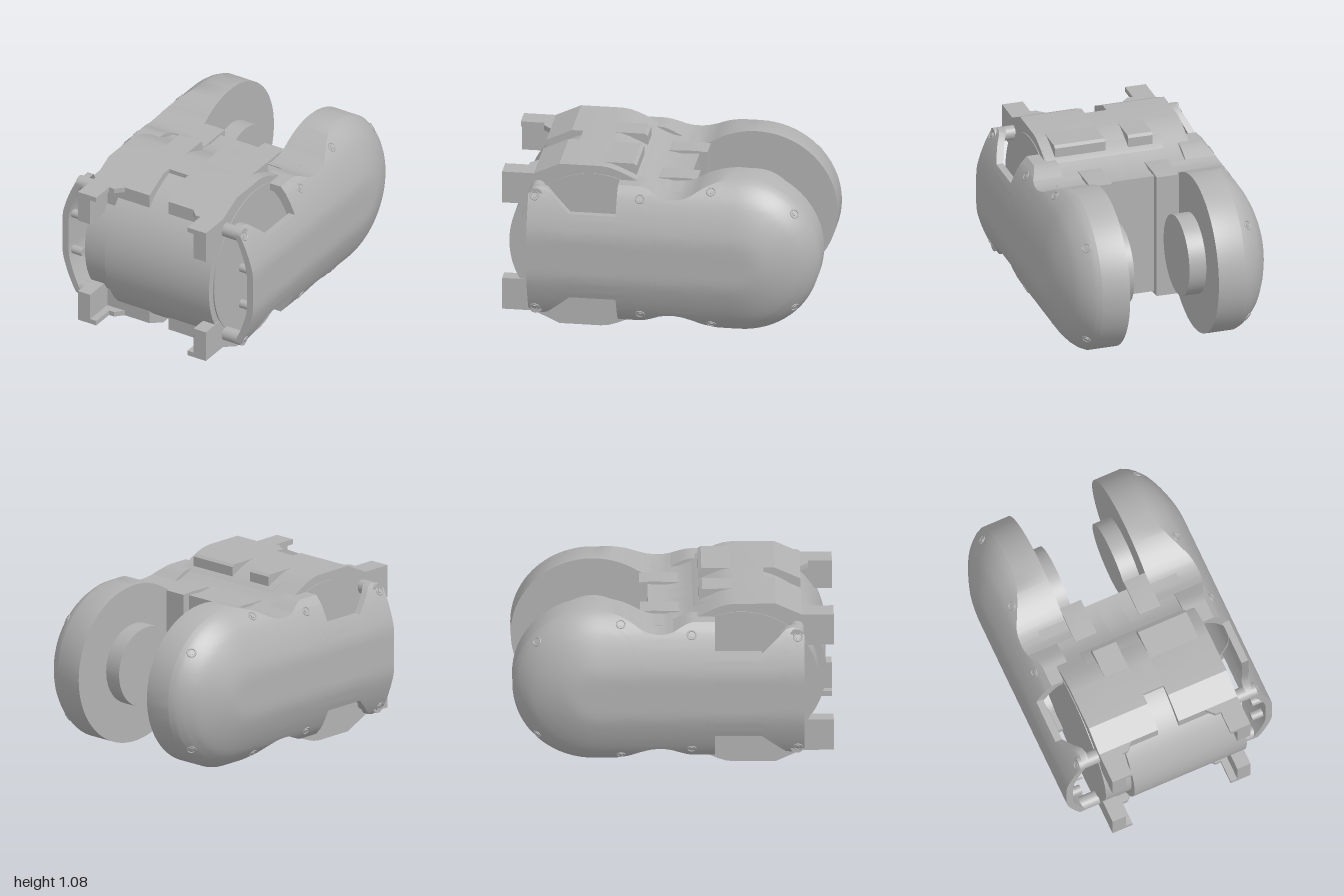
import * as THREE from 'three';
import { toCreasedNormals } from 'three/addons/utils/BufferGeometryUtils.js';

const CY = 0.5375;      // height of the horizontal mid plane
const HUB = -0.49;      // z of the rear disc axis
const R = 0.507;        // rear disc radius

// Piecewise linear lookup in [in, out] pairs
function lookup(table, v) {
  if (v <= table[0][0]) return table[0][1];
  for (let i = 1; i < table.length; i++) {
    const [a, p] = table[i - 1], [b, q] = table[i];
    if (v <= b) return p + (q - p) * (v - a) / (b - a);
  }
  return table[table.length - 1][1];
}

// Outer face of a side shell as a function of distance from its spine
const DOME = [[0, 0.7], [0.12, 0.7], [0.17, 0.693], [0.24, 0.672], [0.31, 0.645], [0.37, 0.616],
  [0.41, 0.592], [0.46, 0.546], [0.49, 0.508], [0.507, 0.47]];
const domeX = (y, z) => lookup(DOME, Math.hypot(y, Math.min(0, z - HUB)));

// Half height of the shell along z, in front of the disc
const WAIST = [[-0.2, 0.418], [-0.15, 0.398], [-0.1, 0.39], [-0.05, 0.39], [0, 0.403], [0.05, 0.428],
  [0.09, 0.446], [0.12, 0.452], [0.26, 0.452]];
const shellH = z => z < -0.2 ? Math.sqrt(Math.max(0, R * R - (z - HUB) ** 2)) : lookup(WAIST, z);

// Half height of the thin front wall, notched above and below
const WALL = [[0.26, 0.28], [0.55, 0.28], [0.7, 0.415], [0.74, 0.425], [0.78, 0.42], [0.805, 0.405], [0.815, 0.385]];

// Loft of closed sections; kind is 'solid', 'hollow' (C section) or 'wall'
function loft(zs, half, kind, s) {
  const n = 36;
  const rows = zs.map(z => {
    const h = half(z), outer = [], inner = [];
    const x0 = kind === 'solid' ? 0.29 : 0.4;
    for (let i = 0; i <= n; i++) {
      const y = h * Math.cos(Math.PI * i / n);
      const x = domeX(y, z);
      outer.push([x, CY + y, z]);
      if (kind === 'solid') inner.push([x0, CY + y, z]);
      else if (kind === 'wall') inner.push([x - 0.045, CY + y, z]);
      else inner.push([x - 0.05, CY + y * (h - 0.05) / h, z]);
    }
    if (kind === 'hollow') {
      const hi = h - 0.05;
      outer.unshift([x0, CY + h, z]); outer.push([x0, CY - h, z]);
      inner.unshift([x0, CY + hi, z]); inner.push([x0, CY - hi, z]);
    }
    return { outer, inner, loop: [...outer, ...inner.slice().reverse()] };
  });
  const pos = [];
  const tri = (a, b, c) => {
    for (const p of s > 0 ? [a, b, c] : [a, c, b]) pos.push(p[0] * s, p[1], p[2]);
  };
  const quad = (a, b, c, d) => { tri(a, b, c); tri(a, c, d); };
  for (let k = 0; k < rows.length - 1; k++) {
    const p = rows[k].loop, q = rows[k + 1].loop;
    for (let i = 0; i < p.length; i++) {
      const j = (i + 1) % p.length;
      quad(p[i], q[i], q[j], p[j]);
    }
  }
  const first = rows[0], last = rows[rows.length - 1];
  for (let i = 0; i < last.outer.length - 1; i++) {
    quad(last.outer[i], last.inner[i], last.inner[i + 1], last.outer[i + 1]);
    quad(first.outer[i + 1], first.inner[i + 1], first.inner[i], first.outer[i]);
  }
  const g = new THREE.BufferGeometry();
  g.setAttribute('position', new THREE.Float32BufferAttribute(pos, 3));
  return toCreasedNormals(g, 0.6);
}

// Extrude a [z, y] outline along x
function extrudeX(points, x0, x1) {
  const shape = new THREE.Shape(points.map(([z, y]) => new THREE.Vector2(-z, y)));
  const g = new THREE.ExtrudeGeometry(shape, { depth: x1 - x0, bevelEnabled: false });
  g.rotateY(Math.PI / 2).translate(x0, 0, 0);
  return toCreasedNormals(g, 0.4);
}

// Cylinder lying along x
function cylX(r, x0, x1, y, z, sides = 64) {
  const g = new THREE.CylinderGeometry(r, r, Math.abs(x1 - x0), sides);
  return g.rotateZ(Math.PI / 2).translate((x0 + x1) / 2, y, z);
}

const range = (a, b, n) => Array.from({ length: n + 1 }, (_, i) => a + (b - a) * i / n);

export function createModel() {
  const model = new THREE.Group();
  model.name = 'jointHousing';
  const grey = new THREE.MeshStandardMaterial({ color: 0xb2b2b2 });
  grey.name = 'housing grey';
  const add = (name, geo) => {
    const m = new THREE.Mesh(geo, grey);
    m.name = name;
    model.add(m);
    return m;
  };
  const box = (name, x0, x1, y0, y1, z0, z1) => add(name,
    new THREE.BoxGeometry(Math.abs(x1 - x0), y1 - y0, z1 - z0).translate((x0 + x1) / 2, (y0 + y1) / 2, (z0 + z1) / 2));

  // Centre body, with a shallow slot at the front middle
  const body = front => {
    const top = [...front, [0.38, 0.5375], [0.33, 0.531], [0.28, 0.515], [0.22, 0.488], [0.16, 0.455],
      [0.1, 0.425], [0.05, 0.405], [-0.04, 0.39], [-0.15, 0.395]];
    return [...top.map(([z, y]) => [z, CY + y]), ...top.reverse().map(([z, y]) => [z, CY - y])];
  };
  const full = [[0.8, 0.4625], [0.64, 0.5375]];
  add('bodyRight', extrudeX(body(full), -0.47, -0.07));
  add('bodyLeft', extrudeX(body(full), 0.07, 0.47));
  add('bodyMiddle', extrudeX(body([[0.57, 0.5375]]), -0.07, 0.07));

  // Raised pads on the upper back slope
  for (const [a, b] of [[-0.24, -0.08], [0.07, 0.4]])
    add('topPad', extrudeX([[0.165, 0.95], [0.165, 1.06], [0.185, 1.074], [0.4, 1.074], [0.4, 0.95]], a, b));

  // Front drum
  add('frontDrum', cylX(0.53, -0.3, 0.465, CY, 0.425, 96));
  add('drumFlange', cylX(0.485, -0.475, 0.475, CY, 0.425, 96));

  for (const s of [1, -1]) {
    const side = s > 0 ? 'left' : 'right';

    // Side shell: domed disc, waist, hollow middle and notched front wall
    const discZ = range(0, Math.PI / 2, 18).map(a => HUB - R * Math.cos(a));
    add(side + 'Shell', loft([...discZ, ...range(-0.46, 0, 23)], shellH, 'solid', s));
    add(side + 'ShellRim', loft(range(0, 0.26, 13), shellH, 'hollow', s));
    add(side + 'FrontWall', loft([0.2, 0.26, 0.4, 0.55, 0.6, 0.65, 0.7, 0.72, 0.74, 0.78, 0.805, 0.815],
      z => lookup(WALL, z), 'wall', s));

    // Inner hub facing the other disc
    add(side + 'InnerHub', cylX(0.257, s * 0.18, s * 0.29, CY, HUB));

    // Rib beside the waist web
    add(side + 'WebRib', extrudeX([[-0.2, 0.13], [-0.2, 0.945], [-0.12, 0.95], [0.04, 0.945], [0.04, 0.13], [-0.12, 0.125]],
      s > 0 ? 0.145 : -0.29, s > 0 ? 0.29 : -0.145));

    // Small pegs inside the front wall
    for (const y of [CY - 0.13, CY + 0.13])
      add(side + 'Peg', cylX(0.028, s * 0.58, s * 0.67, y, 0.76, 20));

    for (const v of [1, -1]) {
      const span = (a, b) => v > 0 ? [CY + a, CY + b] : [CY - b, CY - a];

      // Mounting prong with its inner lip
      box(side + 'Prong', s * 0.38, s * 0.47, ...span(0.255, 0.4625), 0.78, 1);
      box(side + 'ProngLip', s * 0.335, s * 0.39, ...span(0.43, 0.4625), 0.78, 1);
      const lip = [[0.25, 0.78], [0.25, 0.8], [0.3, 0.85], [0.345, 0.85], [0.345, 0.78]];
      const lipShape = new THREE.Shape(lip.map(([x, z]) => new THREE.Vector2(s * x, -z)));
      const lipGeo = new THREE.ExtrudeGeometry(lipShape, { depth: 0.0325, bevelEnabled: false });
      add(side + 'LipChamfer', lipGeo.rotateX(-Math.PI / 2).translate(0, span(0.43, 0.4625)[0], 0));

      // Screw post joining the front wall to the body
      add(side + 'ScrewPost', cylX(0.045, s * 0.45, s * 0.605, CY + v * 0.375, 0.77, 28));

      // Screw heads set square to the curved shell
      for (const [z, y] of [[0.775, 0.375], [0.115, 0.388], [-0.325, 0.445], [-0.845, 0.315]]) {
        const e = 0.01, x = domeX(y, z);
        const nrm = new THREE.Vector3(1, -(domeX(y + e, z) - domeX(y - e, z)) / (2 * e),
          -(domeX(y, z + e) - domeX(y, z - e)) / (2 * e));
        nrm.x *= s; nrm.y *= v; nrm.normalize();
        const ring = add(side + 'ScrewRing', new THREE.TorusGeometry(0.026, 0.005, 8, 28));
        ring.position.set(s * x, CY + v * y, z);
        ring.quaternion.setFromUnitVectors(new THREE.Vector3(0, 0, 1), nrm);
        const head = add(side + 'ScrewHead', new THREE.CylinderGeometry(0.014, 0.014, 0.009, 20));
        head.position.copy(ring.position);
        head.quaternion.setFromUnitVectors(new THREE.Vector3(0, 1, 0), nrm);
      }
    }
  }
  return model;
}
